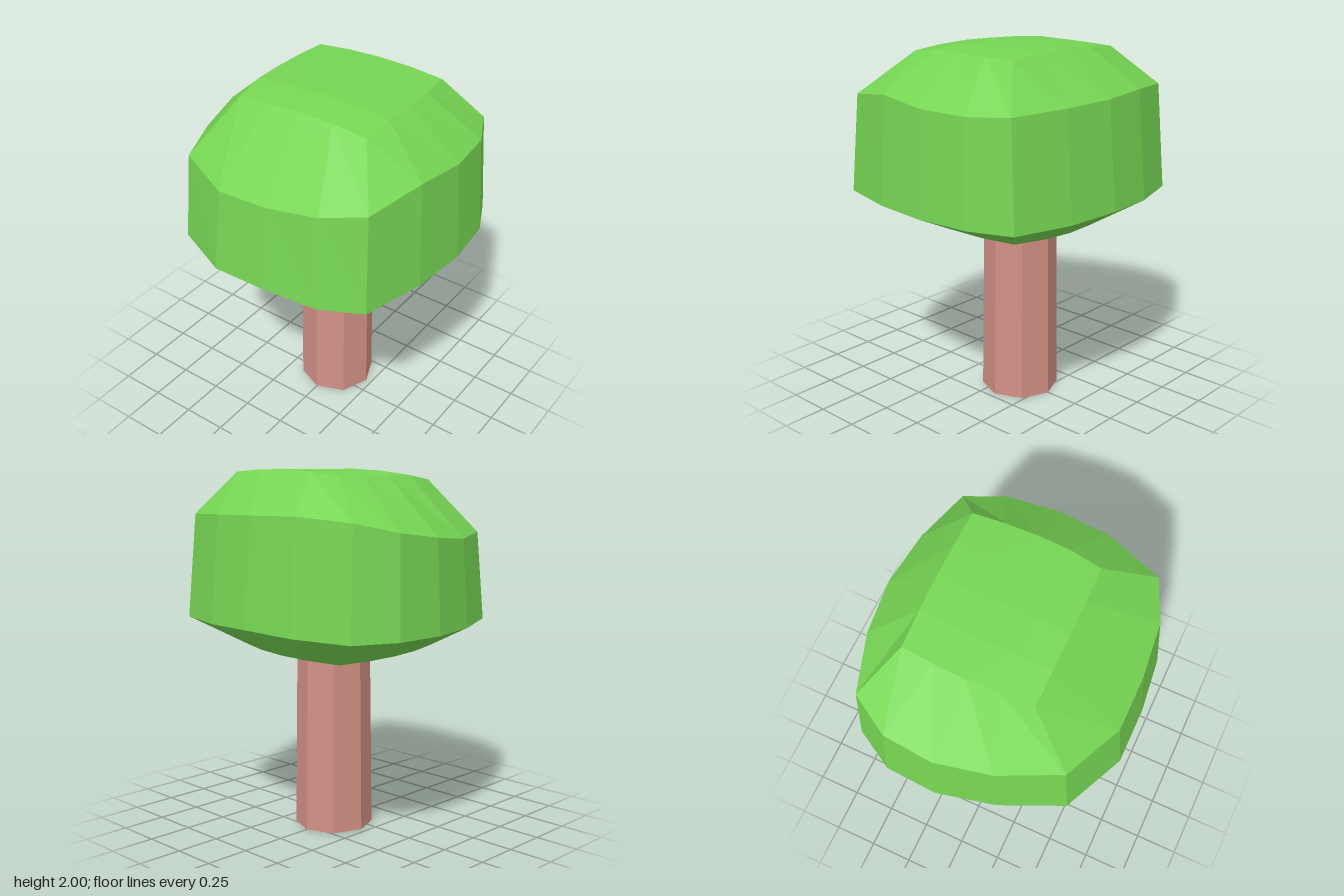
import * as THREE from 'three';

const N = 4; // panels along each side of the crown

// Perimeter of an N x N grid: back edge, +x edge, front edge, -x edge
function perimeter(point) {
  const ring = [];
  for (let k = 0; k < 4 * N; k++) {
    const side = Math.floor(k / N), m = k % N;
    const [i, j] = [[m, 0], [N, m], [N - m, N], [0, N - m]][side];
    ring.push(point(i, j));
  }
  return ring;
}

// Slightly domed top patch
function topPoint(i, j) {
  const s = i / 2 - 1, t = j / 2 - 1;
  const x = 0.032 + s * (0.39 + 0.022 * (1 - t * t));
  const z = -0.06 + t * (0.348 + 0.005 * (1 - s * s));
  const y = 2 - 0.022 * s * s + 0.008 * s - Math.max(0, t - 0.5) * 0.05;
  return [x, y, z];
}

// Slightly tilted underside patch
function bottomPoint(i, j) {
  const s = i / 2 - 1, t = j / 2 - 1;
  const x = 0.02 + s * (0.37 + 0.06 * (1 - t * t));
  const z = -0.03 + t * (0.36 + 0.07 * (1 - s * s));
  return [x, 1.023 + 0.013 * s + 0.007 * t, z];
}

function crownGeometry() {
  // Widest outline (x, z), from the back -x corner, and the wavy upper edge
  const outline = [
    [-0.63, -0.6], [-0.31, -0.7], [0, -0.735], [0.31, -0.7],
    [0.63, -0.605], [0.735, -0.38], [0.768, -0.08], [0.735, 0.24],
    [0.64, 0.585], [0.415, 0.695], [0.11, 0.73], [-0.2, 0.73],
    [-0.54, 0.572], [-0.695, 0.23], [-0.77, -0.09], [-0.755, -0.38],
  ];
  const upperY = [1.75, 1.775, 1.77, 1.765, 1.755, 1.745, 1.75, 1.775,
    1.725, 1.69, 1.65, 1.635, 1.655, 1.64, 1.665, 1.7];
  const wide = outline.map(([x, z]) => [x, 1.18 + 0.012 * x + 0.008 * Math.cos(6 * x), z]);
  const upper = outline.map(([x, z], k) => [x * 0.96, upperY[k], z * 0.93]);
  const rings = [perimeter(bottomPoint), wide, upper, perimeter(topPoint)];

  const pos = [];
  const quad = (a, b, c, d) => pos.push(...a, ...b, ...c, ...a, ...c, ...d);

  // Side bands
  for (let r = 0; r < 3; r++) {
    for (let k = 0; k < 4 * N; k++) {
      const n = (k + 1) % (4 * N);
      quad(rings[r][k], rings[r + 1][k], rings[r + 1][n], rings[r][n]);
    }
  }
  // Top and underside patches
  for (let i = 0; i < N; i++) {
    for (let j = 0; j < N; j++) {
      quad(topPoint(i, j), topPoint(i, j + 1), topPoint(i + 1, j + 1), topPoint(i + 1, j));
      quad(bottomPoint(i, j), bottomPoint(i + 1, j), bottomPoint(i + 1, j + 1), bottomPoint(i, j + 1));
    }
  }
  const geo = new THREE.BufferGeometry();
  geo.setAttribute('position', new THREE.Float32BufferAttribute(pos, 3));
  geo.computeVertexNormals();
  return geo;
}

export function createModel() {
  const leafGreen = new THREE.MeshStandardMaterial({ name: 'leafGreen', color: 0x76d553 });
  const barkPink = new THREE.MeshStandardMaterial({ name: 'barkPink', color: 0xd29085 });

  const tree = new THREE.Group();
  tree.name = 'tree';

  // Leafy crown
  const crown = new THREE.Mesh(crownGeometry(), leafGreen);
  crown.name = 'crown';
  tree.add(crown);

  // Eight-sided trunk, set a little toward the back
  const trunkGeo = new THREE.CylinderGeometry(0.203, 0.217, 1.04, 8).toNonIndexed();
  trunkGeo.computeVertexNormals();
  const trunk = new THREE.Mesh(trunkGeo, barkPink);
  trunk.name = 'trunk';
  trunk.position.set(0, 0.52, -0.083);
  tree.add(trunk);

  return tree;
}
